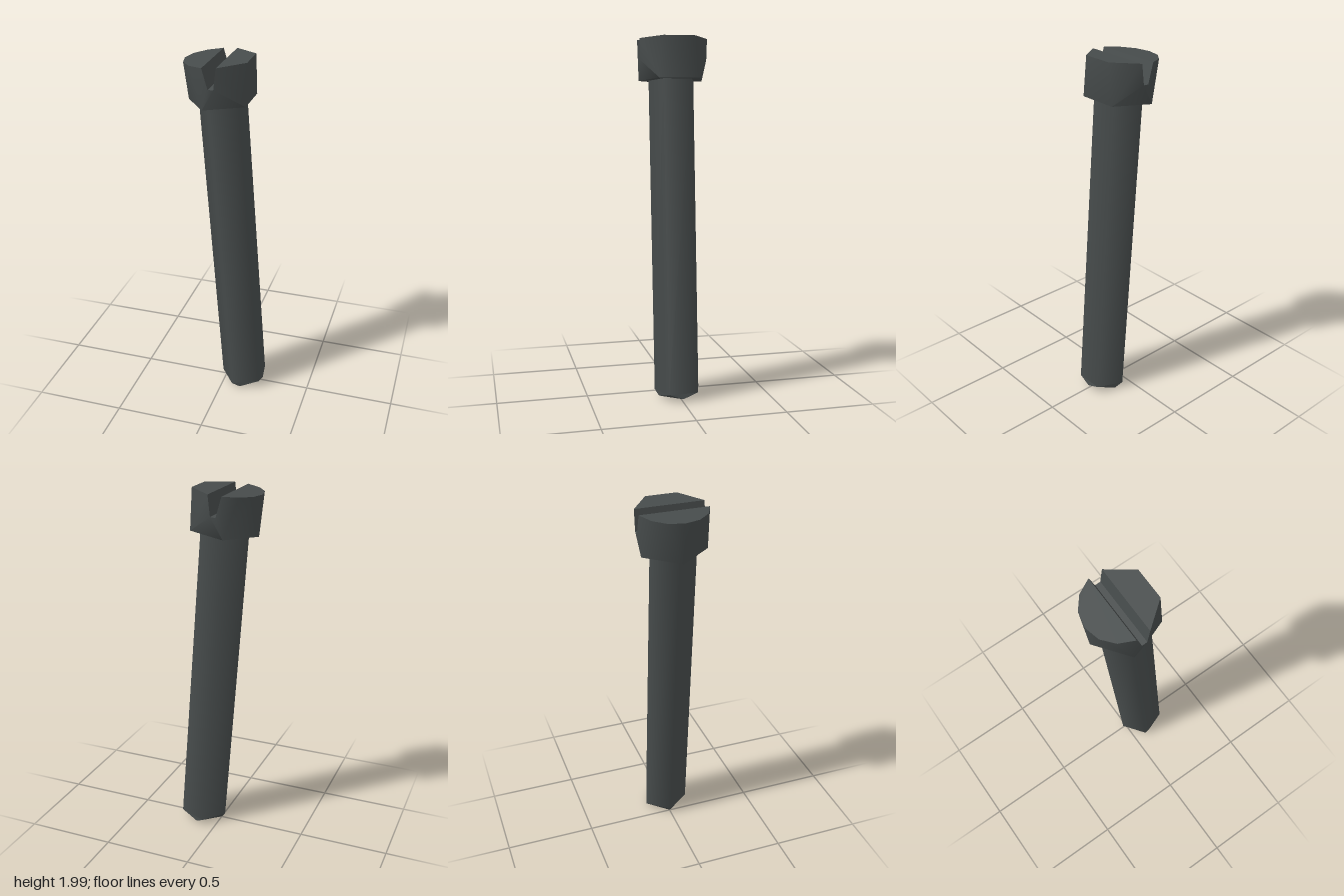
import * as THREE from 'three';
import { toCreasedNormals } from 'three/addons/utils/BufferGeometryUtils.js';

const material = new THREE.MeshStandardMaterial({ color: 0x474c4c });

// Points of a ring at the given angles (degrees from +x towards +z).
const ring = (angles, r, y) => angles.map((a) => {
  const t = THREE.MathUtils.degToRad(a);
  return [r * Math.cos(t), y, r * Math.sin(t)];
});

// Band between two rings of different counts: lowerOf[i] is the lower corner
// that closes upper edge i. Caps are polygons of point indices.
function band(name, upper, lower, lowerOf, caps, crease) {
  const n = upper.length;
  const index = [];
  for (let i = 0; i < n; i++) {
    const j = (i + 1) % n;
    index.push(i, j, n + lowerOf[i]);
    if (lowerOf[i] !== lowerOf[j]) index.push(j, n + lowerOf[j], n + lowerOf[i]);
  }
  caps.push(lower.map((_, i) => n + i));
  for (const c of caps) {
    for (let i = 1; i < c.length - 1; i++) index.push(c[0], c[i], c[i + 1]);
  }
  const geometry = new THREE.BufferGeometry();
  geometry.setAttribute('position', new THREE.Float32BufferAttribute([...upper, ...lower].flat(), 3));
  geometry.setIndex(index);
  const mesh = new THREE.Mesh(toCreasedNormals(geometry, crease), material);
  mesh.name = name;
  return mesh;
}

export function createModel() {
  const group = new THREE.Group();
  group.name = 'screw';
  const bolt = new THREE.Group();
  bolt.name = 'tiltedScrew';
  group.add(bolt);

  const tipY = 0.028, neckY = 1.753, topY = 1.974, slotY = 1.863;
  const shaftR = 0.134, headR = 0.189;
  const pentagon = [36, 108, 180, 252, 324];

  // Shaft: five sides with smooth shading
  const shaft = new THREE.Mesh(
    new THREE.CylinderGeometry(shaftR, shaftR, neckY - tipY, 5, 1, true, -Math.PI / 2), material);
  shaft.position.y = (neckY + tipY) / 2;
  shaft.name = 'shaft';
  bolt.add(shaft);

  // Chamfered tip: pentagon down to a square end
  bolt.add(band('tip', ring(pentagon, shaftR, tipY), ring([0, 90, 180, 270], 0.113, 0),
    [1, 2, 2, 3, 0], [], 0.4));

  // Head: rounded, slotted top over a pentagonal base
  const half = [
    ...ring([27], headR, topY),
    [0.037, topY, 0.188], [0.0155, slotY, 0.188],
    [-0.0145, slotY, 0.188], [-0.038, topY, 0.188],
    ...ring([128, 154], headR, topY),
  ];
  const mirrored = half.map(([x, y, z]) => [x, y, -z]).reverse();
  const rim = [...half, [-headR, topY, 0], ...mirrored];
  bolt.add(band('slottedHead', rim, ring(pentagon, headR, neckY),
    [0, 0, 1, 1, 1, 1, 2, 2, 3, 3, 3, 3, 4, 4, 4],
    [
      [10, 9, 8, 7, 6, 5, 4], [1, 0, 14, 13], // top faces
      [2, 1, 13, 12], [3, 2, 12, 11], [4, 3, 11, 10], // slot walls and floor
    ], 1.3));

  // Lean of the whole screw
  bolt.position.set(0.114, 0.017, 0);
  bolt.rotation.z = THREE.MathUtils.degToRad(4.39);
  return group;
}
